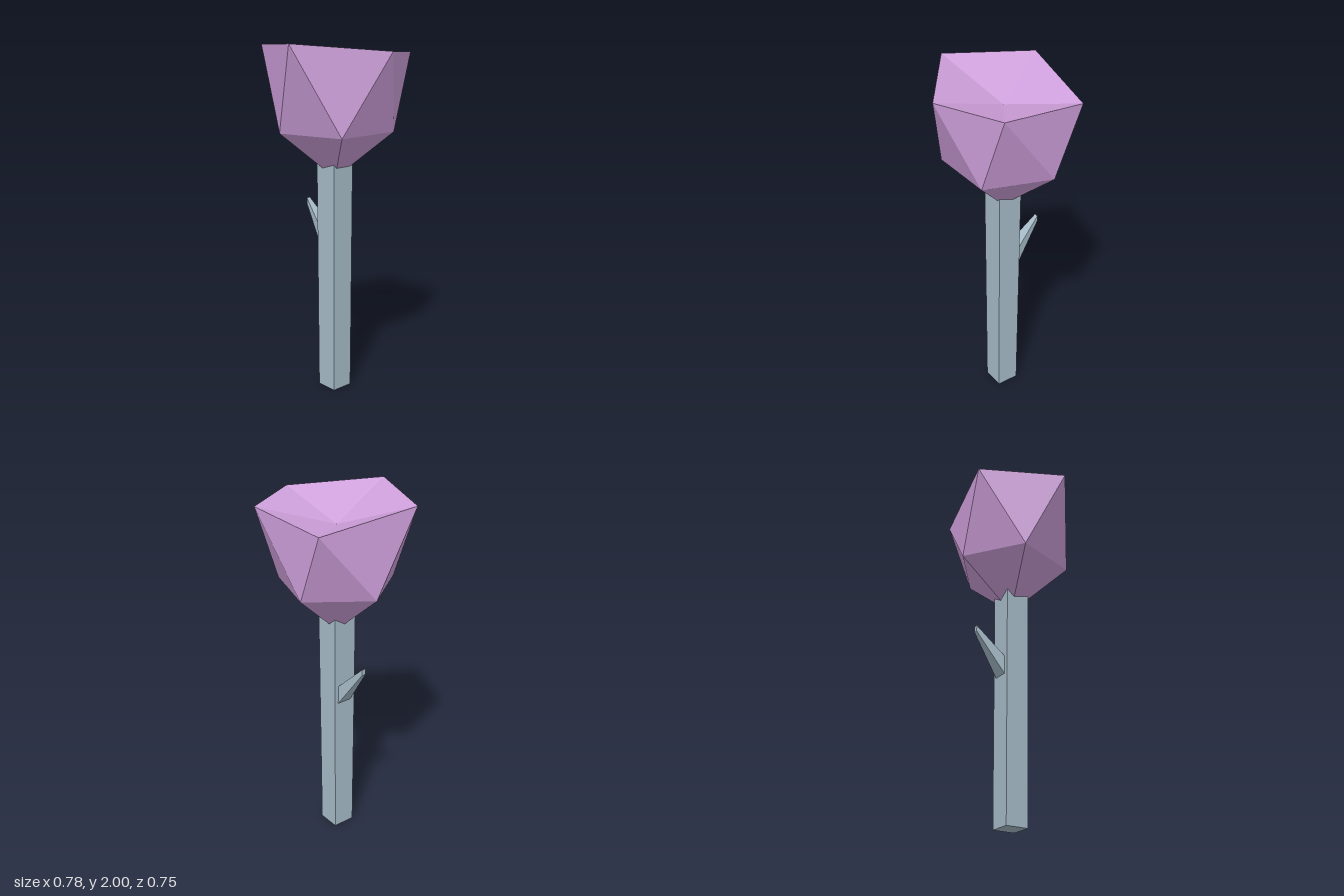
import * as THREE from 'three';

const petal = new THREE.MeshStandardMaterial({ color: 0xcfa0dc, flatShading: true });
petal.name = 'lavender';
const stalk = new THREE.MeshStandardMaterial({ color: 0xa7bcc9, flatShading: true });
stalk.name = 'pale blue grey';

const CX = -0.03, CZ = -0.035; // axis of the flower

function part(name, geometry, material) {
  const mesh = new THREE.Mesh(geometry, material);
  mesh.name = name;
  return mesh;
}

// Faceted cup: uneven rim, regular lower ring, bottom point and sunken middle
function flowerGeometry() {
  const rim = [
    [-0.39, 1.975, 0.185], [0.08, 2.0, 0.375], [0.387, 1.96, -0.05],
    [0.203, 1.94, -0.378], [-0.288, 1.895, -0.345],
  ];
  const ring = rim.map((_, i) => {
    const a = THREE.MathUtils.degToRad(108 - 72 * i);
    return [CX + 0.325 * Math.cos(a), 1.52, CZ + 0.325 * Math.sin(a)];
  });
  const bottom = [CX, 1.25, CZ], pit = [CX, 1.84, CZ];
  const tris = [];
  for (let i = 0; i < 5; i++) {
    const j = (i + 1) % 5;
    tris.push(rim[i], ring[i], rim[j]);
    tris.push(ring[i], ring[j], rim[j]);
    tris.push(bottom, ring[j], ring[i]);
    tris.push(pit, rim[i], rim[j]);
  }
  const g = new THREE.BufferGeometry();
  g.setAttribute('position', new THREE.Float32BufferAttribute(tris.flat(), 3));
  g.computeVertexNormals();
  return g;
}

// Square stem, very slightly wider at the top
function stemGeometry() {
  const g = new THREE.CylinderGeometry(0.07 * Math.SQRT2, 0.065 * Math.SQRT2, 1.4, 4);
  return g.rotateY(Math.PI / 4).translate(CX, 0.7, -0.033);
}

// Box tapered from a broad base on the stem to a small raised tip
function thornGeometry() {
  const g = new THREE.BoxGeometry(1, 1, 1).toNonIndexed();
  const p = g.attributes.position;
  for (let i = 0; i < p.count; i++) {
    const tip = p.getX(i) < 0, top = p.getY(i) > 0, side = Math.sign(p.getZ(i));
    if (tip) p.setXYZ(i, -0.26, top ? 1.1 : 1.065, CZ + side * 0.012);
    else p.setXYZ(i, -0.09, top ? 0.935 : 0.826, CZ + side * 0.045);
  }
  g.computeVertexNormals();
  return g;
}

export function createModel() {
  const group = new THREE.Group();
  group.name = 'flower';
  group.add(
    part('flowerHead', flowerGeometry(), petal),
    part('stem', stemGeometry(), stalk),
    part('thorn', thornGeometry(), stalk),
  );
  return group;
}
